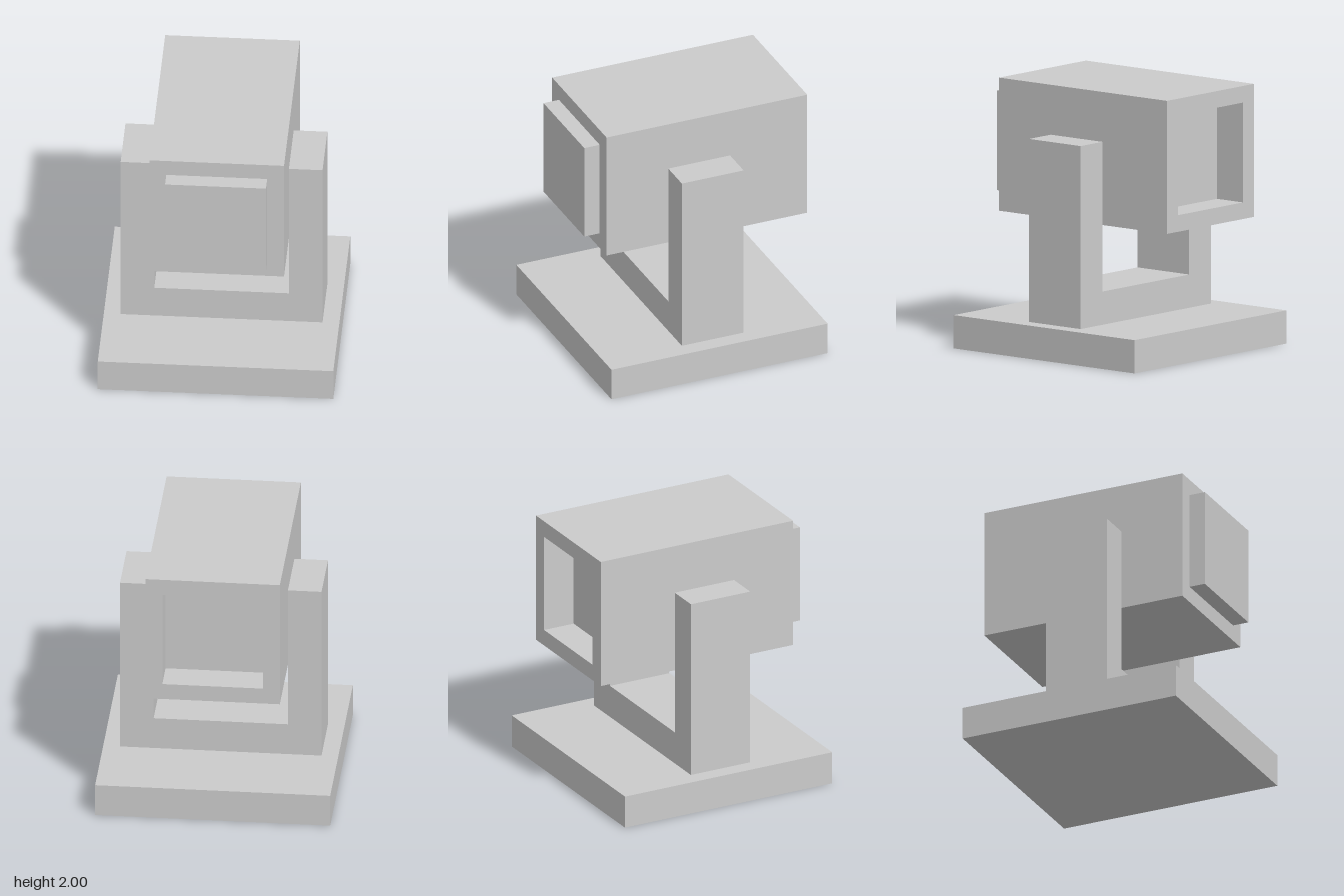
import * as THREE from 'three';

const material = new THREE.MeshStandardMaterial({ color: 0xcccccc, flatShading: true });

const polygon = (points) => points.map(([x, y]) => new THREE.Vector2(x, y));

const rectangle = (halfWidth, bottom, top) => polygon([
  [-halfWidth, bottom], [halfWidth, bottom], [halfWidth, top], [-halfWidth, top],
]);

function addPart(group, name, geometry, x = 0, y = 0, z = 0) {
  const mesh = new THREE.Mesh(geometry, material);
  mesh.name = name;
  mesh.position.set(x, y, z);
  group.add(mesh);
}

const extrude = (shape, depth) =>
  new THREE.ExtrudeGeometry(shape, { depth, bevelEnabled: false });

export function createModel() {
  const model = new THREE.Group();
  model.name = 'swivelLamp';

  // Square base plate
  addPart(model, 'base', new THREE.BoxGeometry(1.75, 0.25, 1.75), 0, 0.125, 0);

  // U-shaped yoke that carries the housing between its arms
  const yoke = new THREE.Shape(polygon([
    [-0.75, 0.25], [0.75, 0.25], [0.75, 1.625], [0.5, 1.625],
    [0.5, 0.5], [-0.5, 0.5], [-0.5, 1.625], [-0.75, 1.625],
  ]));
  addPart(model, 'yoke', extrude(yoke, 0.5), 0, 0, -0.25);

  // Housing: a square tube, open through its length
  const housing = new THREE.Shape(rectangle(0.5, 1, 2));
  housing.holes.push(new THREE.Path(rectangle(0.375, 1.125, 1.875).reverse()));
  addPart(model, 'housing', extrude(housing, 1.625), 0, 0, -0.875);

  // Core filling the tube: stands proud at the front, leaves a recess at the back
  addPart(model, 'lensCore', new THREE.BoxGeometry(0.75, 0.75, 1.5), 0, 1.5, 0.125);

  return model;
}
